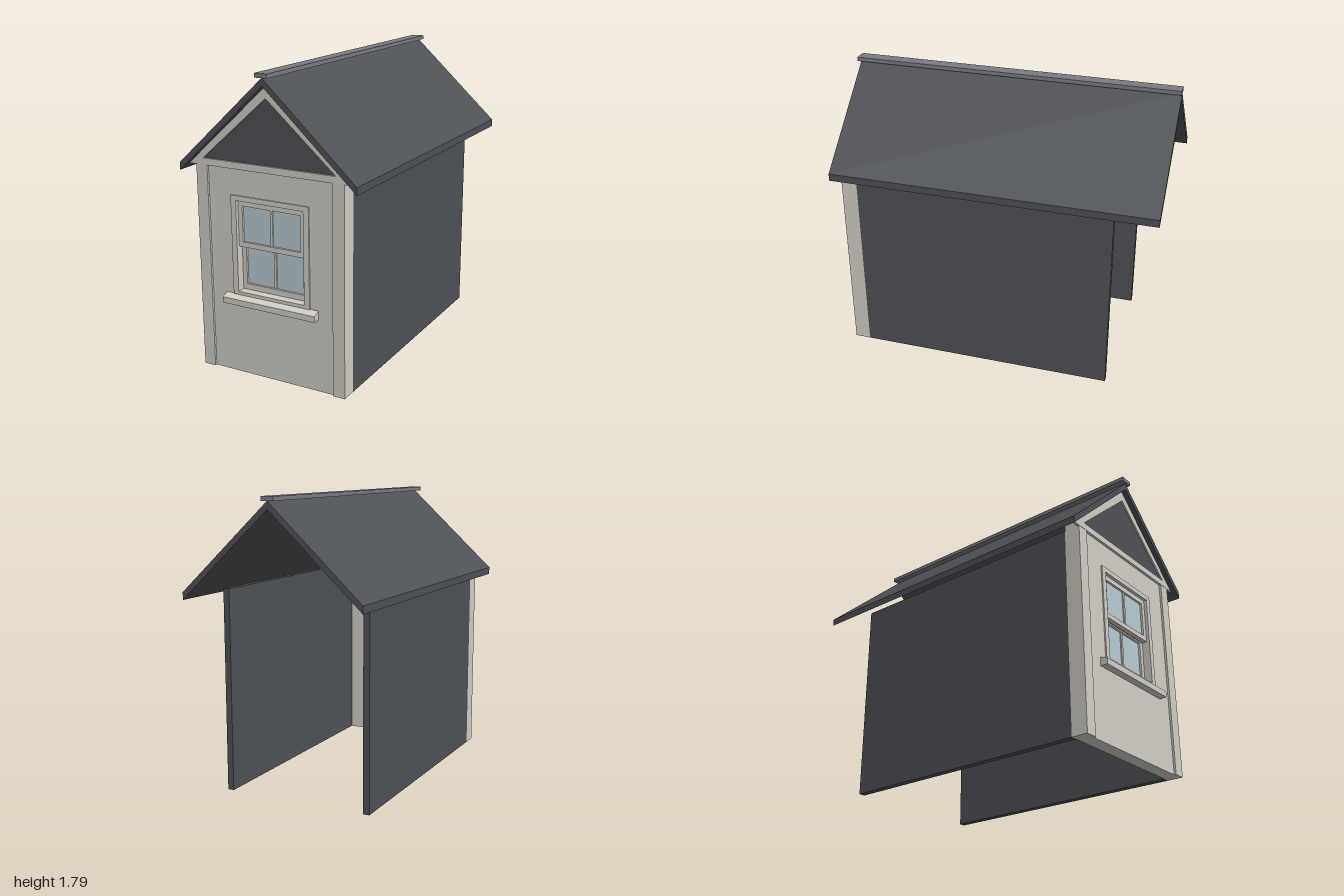
import * as THREE from 'three';

export function createModel() {
  const model = new THREE.Group();
  model.name = 'dormer';
  const mat = (name, color) => {
    const m = new THREE.MeshStandardMaterial({ color });
    m.name = name;
    return m;
  };
  const cream = mat('cream paint', 0xd2cfc6);
  const slate = mat('dark slate', 0x4e5156);
  const lead = mat('ridge lead', 0x7c7b84);
  const glass = mat('pale glass', 0xb7cbd3);

  const add = (name, geometry, material, parent = model) => {
    const mesh = new THREE.Mesh(geometry, material);
    mesh.name = name;
    parent.add(mesh);
    return mesh;
  };
  // Box given by its limits on each axis
  const box = (name, x0, x1, y0, y1, z0, z1, material, parent) => {
    const mesh = add(name, new THREE.BoxGeometry(x1 - x0, y1 - y0, z1 - z0), material, parent);
    mesh.position.set((x0 + x1) / 2, (y0 + y1) / 2, (z0 + z1) / 2);
    return mesh;
  };
  const points = (list) => list.map(([x, y]) => new THREE.Vector2(x, y));
  // Flat outline, with an optional hole, extruded from z0 to z1
  const slab = (name, outline, hole, z0, z1, material, parent) => {
    const shape = new THREE.Shape(points(outline));
    if (hole) shape.holes.push(new THREE.Path(points(hole)));
    const geometry = new THREE.ExtrudeGeometry(shape, { depth: z1 - z0, bevelEnabled: false });
    geometry.translate(0, 0, z0);
    return add(name, geometry, material, parent);
  };
  const rect = (w, y0, y1) => [[-w, y0], [w, y0], [w, y1], [-w, y1]];

  // Front wall with its gable and window opening
  const opening = rect(0.22, 0.51, 1.055);
  slab('frontWall', [[-0.48, 0], [0.48, 0], [0.48, 1.275], [0, 1.715], [-0.48, 1.275]],
    opening, 0.86, 0.945, cream);

  // Gable trim around a slate infill
  slab('gableTrim', [[-0.527, 1.24], [0.527, 1.24], [0, 1.72]],
    [[-0.43, 1.28], [0.43, 1.28], [0, 1.655]], 0.945, 0.96, cream);
  slab('gableInfill', [[-0.43, 1.28], [0.43, 1.28], [0, 1.655]], null, 0.945, 0.95, slate);

  // Mirrored parts: corner boards, side walls and roof slopes
  for (const s of [-1, 1]) {
    const side = s > 0 ? 'left' : 'right';
    const span = (a, b) => (s > 0 ? [a, b] : [-b, -a]);
    box(side + 'CornerBoard', ...span(0.405, 0.48), 0, 1.24, 0.945, 0.958, cream);
    box(side + 'SideWall', ...span(0.44, 0.48), 0, 1.24, -0.73, 0.86, slate);
    slab(side + 'RoofSlope', [[0, 1.725], [s * 0.572, 1.2], [s * 0.572, 1.245], [0, 1.77]],
      null, -1, 0.99, slate);
  }
  box('ridgeCap', -0.04, 0.04, 1.77, 1.795, -1, 1, lead);

  // Window: casing, two sashes and sill
  const windowGroup = new THREE.Group();
  windowGroup.name = 'window';
  model.add(windowGroup);
  slab('casing', rect(0.255, 0.49, 1.085), opening, 0.945, 0.953, cream, windowGroup);

  const sash = (name, y0, y1, z, bottomRail, topRail) => {
    const group = new THREE.Group();
    group.name = name;
    windowGroup.add(group);
    slab('sashFrame', rect(0.218, y0, y1), rect(0.19, y0 + bottomRail, y1 - topRail),
      z, z + 0.03, cream, group);
    box('glazingBar', -0.008, 0.008, y0 + bottomRail, y1 - topRail, z + 0.005, z + 0.025, cream, group);
    box('pane', -0.19, 0.19, y0 + bottomRail, y1 - topRail, z + 0.011, z + 0.017, glass, group);
  };
  sash('upperSash', 0.78, 1.053, 0.905, 0.03, 0.03);
  sash('lowerSash', 0.512, 0.778, 0.875, 0.035, 0.01);

  // Sill profile (depth, height) with a sloping top, run along x
  const sillShape = new THREE.Shape(points([[0.945, 0.437], [0.99, 0.437], [0.99, 0.473], [0.945, 0.49]]));
  const sill = new THREE.ExtrudeGeometry(sillShape, { depth: 0.615, bevelEnabled: false });
  sill.rotateY(-Math.PI / 2);
  sill.translate(0.3075, 0, 0);
  add('windowSill', sill, cream, windowGroup);

  return model;
}
